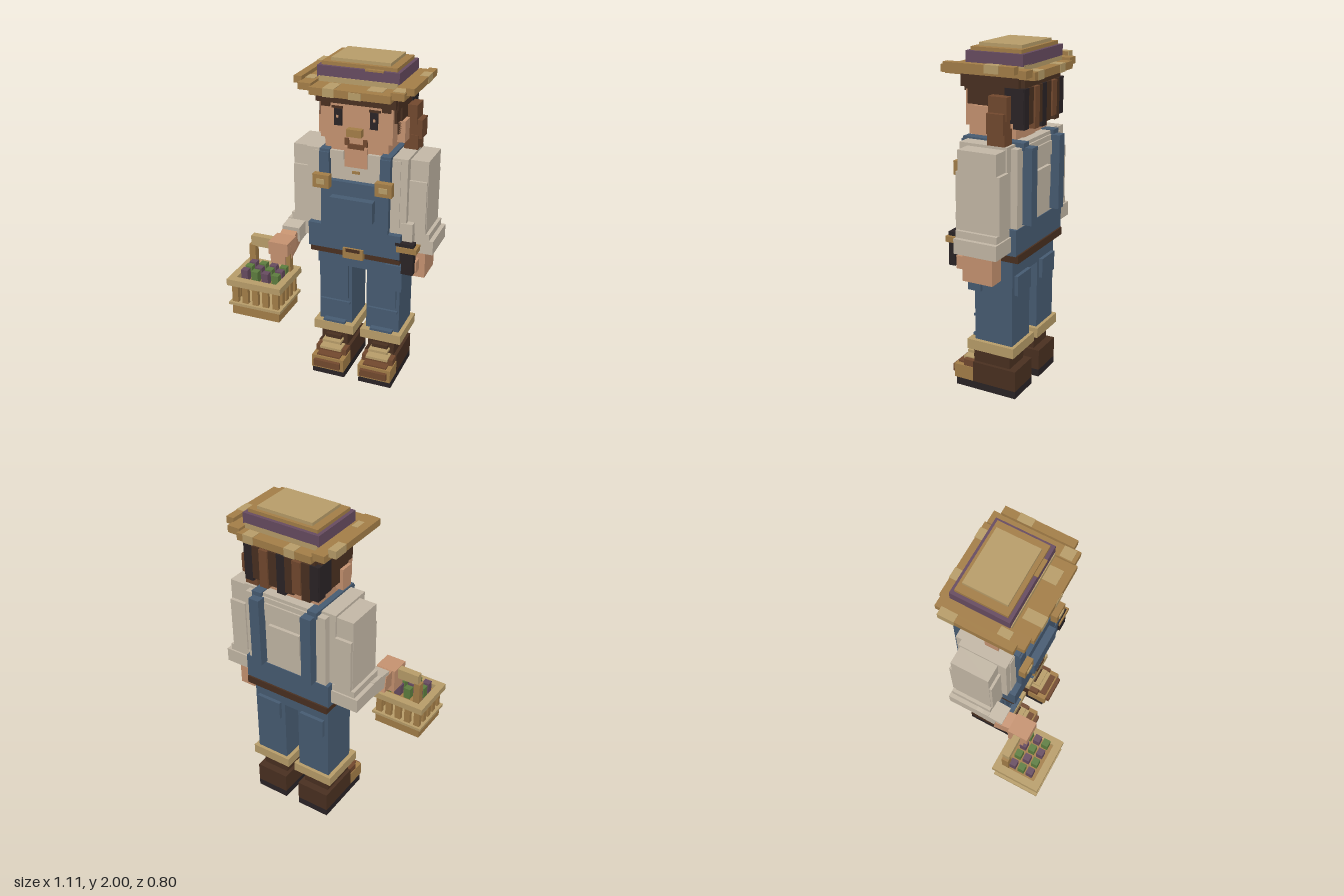
import * as THREE from 'three';

const mat = (name, color) => Object.assign(new THREE.MeshStandardMaterial({ color }), { name });

export function createModel() {
  const root = new THREE.Group();
  root.name = 'farmer';
  const skin = mat('skin', 0xc99572), shirt = mat('shirt cream', 0xc7bba9), denim = mat('denim blue', 0x485d74);
  const dark = mat('dark brown', 0x4b3121), brown = mat('mid brown', 0x744a2f), black = mat('black', 0x2b2426);
  const straw = mat('straw', 0xa68049), pale = mat('pale straw', 0xbba06b);
  const purple = mat('purple', 0x694d62), green = mat('green', 0x5f7f40);

  const group = (name) => {
    const g = new THREE.Group();
    g.name = name;
    root.add(g);
    return g;
  };
  // block given by its extents on each axis
  const box = (g, name, m, x0, x1, y0, y1, z0, z1) => {
    const mesh = new THREE.Mesh(new THREE.BoxGeometry(x1 - x0, y1 - y0, z1 - z0), m);
    mesh.position.set((x0 + x1) / 2, (y0 + y1) / 2, (z0 + z1) / 2);
    mesh.name = name;
    g.add(mesh);
    return mesh;
  };
  // block plus its mirror about the body's middle plane
  const MID2 = 0.205;
  const pair = (g, name, m, x0, x1, ...r) => {
    box(g, name + 'Right', m, x0, x1, ...r);
    box(g, name + 'Left', m, MID2 - x1, MID2 - x0, ...r);
  };

  // Boots
  const boots = group('boots');
  pair(boots, 'sole', black, -0.155, 0.055, 0, 0.045, -0.31, 0.075);
  pair(boots, 'bootHeel', dark, -0.155, 0.055, 0.045, 0.17, -0.31, -0.035);
  pair(boots, 'bootShaft', dark, -0.135, 0.035, 0.17, 0.27, -0.265, -0.035);
  pair(boots, 'toe', straw, -0.155, 0.055, 0.045, 0.13, -0.035, 0.09);
  pair(boots, 'instep', brown, -0.15, 0.05, 0.13, 0.17, -0.035, 0.03);
  pair(boots, 'toeCap', brown, -0.135, 0.035, 0.068, 0.112, 0.09, 0.112);
  pair(boots, 'toeTop', brown, -0.125, 0.025, 0.13, 0.14, 0.03, 0.08);
  pair(boots, 'tongue', dark, -0.1, 0, 0.17, 0.24, -0.035, -0.01);
  pair(boots, 'laceLow', pale, -0.12, 0.02, 0.16, 0.176, -0.035, 0.045);
  pair(boots, 'laceHigh', pale, -0.11, 0.01, 0.2, 0.216, -0.035, 0.025);

  // Trousers
  const trousers = group('trousers');
  pair(trousers, 'cuff', pale, -0.18, 0.08, 0.265, 0.325, -0.31, -0.015);
  pair(trousers, 'leg', denim, -0.155, 0.055, 0.325, 0.75, -0.29, -0.055);
  pair(trousers, 'kneePatch', denim, -0.135, 0.035, 0.5, 0.73, -0.055, -0.04);
  pair(trousers, 'legFold', denim, -0.12, 0.02, 0.325, 0.34, -0.055, -0.02);
  pair(trousers, 'shinFold', denim, -0.145, 0.045, 0.46, 0.475, -0.055, -0.04);
  pair(trousers, 'backPocket', denim, -0.13, 0.03, 0.63, 0.745, -0.312, -0.29);
  box(trousers, 'hips', denim, -0.155, 0.36, 0.735, 0.85, -0.29, -0.03);
  box(trousers, 'sidePocket', denim, 0.275, 0.38, 0.63, 0.8, -0.1, -0.02);

  // Overalls and belt
  const overalls = group('overalls');
  box(overalls, 'waist', denim, -0.18, 0.385, 0.88, 1.03, -0.325, 0.05);
  box(overalls, 'belt', dark, -0.175, 0.38, 0.84, 0.885, -0.335, 0.035);
  box(overalls, 'beltBuckle', straw, 0.04, 0.165, 0.84, 0.905, 0.03, 0.065);
  box(overalls, 'buckleTongue', dark, 0.06, 0.145, 0.885, 0.905, 0.065, 0.07);
  box(overalls, 'bib', denim, -0.1, 0.31, 1.03, 1.315, 0, 0.05);
  box(overalls, 'bibPocket', denim, -0.03, 0.23, 1.1, 1.23, 0.05, 0.095);
  pair(overalls, 'frontStrap', denim, -0.11, -0.05, 1.31, 1.48, -0.03, 0.05);
  pair(overalls, 'shoulderStrap', denim, -0.11, -0.05, 1.455, 1.495, -0.33, 0.04);
  pair(overalls, 'backStrap', denim, -0.1, -0.035, 1.04, 1.47, -0.375, -0.32);
  pair(overalls, 'strapBuckle', straw, -0.135, -0.035, 1.275, 1.355, 0.05, 0.09);
  pair(overalls, 'buckleInset', pale, -0.11, -0.06, 1.3, 1.33, 0.09, 0.097);

  // Shirt
  const top = group('shirt');
  box(top, 'torso', shirt, -0.16, 0.365, 0.99, 1.47, -0.32, 0.015);
  pair(top, 'sideBody', shirt, -0.2, -0.1, 1.03, 1.485, -0.28, 0.01);
  pair(top, 'collar', shirt, -0.05, 0.03, 1.44, 1.49, -0.28, 0.03);
  box(top, 'collarBack', shirt, -0.05, 0.255, 1.44, 1.49, -0.31, -0.26);
  box(top, 'backPanel', shirt, 0, 0.205, 1.18, 1.31, -0.34, -0.31);
  box(top, 'backYoke', shirt, -0.03, 0.235, 1.36, 1.44, -0.33, -0.31);
  box(top, 'button', straw, 0.08, 0.125, 1.36, 1.376, 0.01, 0.022);
  pair(top, 'sleeve', shirt, -0.305, -0.19, 0.99, 1.47, -0.27, -0.04);
  pair(top, 'sleeveBulge', shirt, -0.302, -0.2, 1.03, 1.35, -0.29, -0.025);
  pair(top, 'sleeveCuff', shirt, -0.35, -0.165, 0.905, 0.99, -0.295, -0.035);
  pair(top, 'cuffRim', shirt, -0.325, -0.18, 0.99, 1.03, -0.285, -0.035);
  box(top, 'glovePocket', shirt, 0.375, 0.445, 0.975, 1.1, -0.05, 0.015);

  // Left hand and hanging tool
  const left = group('leftHand');
  box(left, 'palm', skin, 0.405, 0.505, 0.735, 0.91, -0.245, -0.06);
  box(left, 'thumb', skin, 0.415, 0.47, 0.785, 0.86, -0.08, 0);
  box(left, 'toolHandle', black, 0.355, 0.465, 0.875, 0.99, 0, 0.05);
  box(left, 'toolBlade', black, 0.395, 0.465, 0.795, 0.875, 0.01, 0.05);
  box(left, 'toolBand', straw, 0.365, 0.485, 0.935, 0.968, -0.02, 0.058);

  // Right forearm reaching forward to the basket
  const right = group('rightArm');
  const fore = box(right, 'forearmSleeve', shirt, -0.35, -0.24, 0.89, 0.985, -0.12, 0.05);
  fore.rotation.x = 0.12;
  const arm = box(right, 'forearm', skin, -0.345, -0.25, 0.84, 0.945, 0, 0.18);
  arm.rotation.set(0.15, 0.12, 0);
  box(right, 'hand', skin, -0.362, -0.24, 0.865, 0.945, 0.1, 0.225);
  box(right, 'fingers', skin, -0.362, -0.27, 0.795, 0.88, 0.1, 0.2);

  // Head
  const head = group('head');
  box(head, 'neck', skin, 0.035, 0.17, 1.4, 1.52, -0.24, 0.025);
  box(head, 'chin', skin, -0.05, 0.255, 1.465, 1.53, -0.25, 0.01);
  box(head, 'jaw', skin, -0.085, 0.29, 1.505, 1.58, -0.27, 0.015);
  box(head, 'skull', skin, -0.11, 0.315, 1.56, 1.82, -0.29, 0.02);
  pair(head, 'ear', skin, -0.155, -0.11, 1.555, 1.68, -0.14, -0.06);
  pair(head, 'eye', black, -0.025, 0.02, 1.64, 1.735, 0.02, 0.03);
  pair(head, 'eyeGlint', skin, -0.012, 0, 1.685, 1.7, 0.03, 0.034);
  pair(head, 'brow', dark, -0.04, 0.025, 1.738, 1.75, 0.02, 0.03);
  box(head, 'nose', straw, 0.058, 0.145, 1.592, 1.635, 0.02, 0.06);
  pair(head, 'mouthCorner', brown, 0.035, 0.06, 1.53, 1.572, 0.015, 0.026);
  box(head, 'mouth', brown, 0.055, 0.15, 1.51, 1.538, 0.013, 0.026);

  // Hair
  const hair = group('hair');
  box(hair, 'crown', dark, -0.135, 0.34, 1.76, 1.85, -0.31, 0.01);
  box(hair, 'fringe', dark, -0.13, 0.335, 1.77, 1.84, 0, 0.04);
  pair(hair, 'fringeTip', dark, -0.1, -0.05, 1.745, 1.78, 0.02, 0.035);
  pair(hair, 'sideLock', dark, -0.135, -0.1, 1.6, 1.78, -0.3, -0.06);
  pair(hair, 'templeLock', dark, -0.125, -0.1, 1.68, 1.78, -0.07, 0);
  // alternating strands across the back
  [black, dark, brown, dark, black, dark, brown, dark, black].forEach((m, i) => {
    const x = -0.135 + i * 0.0528;
    const low = [1.58, 1.56, 1.59, 1.57, 1.55][i % 5];
    box(hair, 'backStrand', m, x, x + 0.0528, low, 1.785, -0.345 - (m === brown ? 0.01 : 0), -0.28);
  });
  box(hair, 'backCap', dark, -0.11, 0.315, 1.78, 1.85, -0.335, -0.28);
  pair(hair, 'sideStrand', black, -0.14, -0.1, 1.6, 1.785, -0.34, -0.23);
  // side ponytail
  box(hair, 'tailTop', brown, 0.32, 0.395, 1.62, 1.745, -0.27, -0.16);
  box(hair, 'tailMiddle', brown, 0.34, 0.425, 1.55, 1.66, -0.265, -0.165);
  box(hair, 'tailEnd', brown, 0.325, 0.405, 1.47, 1.57, -0.265, -0.16);

  // Straw hat, brim raised at the sides
  const hat = group('hat');
  box(hat, 'brimMiddle', straw, -0.13, 0.335, 1.832, 1.875, -0.4, 0.135);
  pair(hat, 'brimInner', straw, -0.2, -0.125, 1.85, 1.89, -0.385, 0.12);
  pair(hat, 'brimOuter', straw, -0.242, -0.195, 1.872, 1.912, -0.34, 0.08);
  box(hat, 'crownBase', pale, -0.125, 0.33, 1.87, 1.905, -0.335, 0.01);
  box(hat, 'band', purple, -0.135, 0.34, 1.9, 1.962, -0.335, 0.005);
  box(hat, 'bandGap', straw, 0.145, 0.25, 1.955, 1.966, -0.02, 0.007);
  box(hat, 'crownStep', straw, -0.115, 0.32, 1.96, 1.982, -0.315, -0.015);
  box(hat, 'crownTop', pale, -0.07, 0.275, 1.98, 2, -0.295, -0.04);
  // pale woven patches: x0, x1, z0, z1, y0, y1
  for (const [x0, x1, z0, z1, y0, y1] of [
    [-0.03, 0.035, -0.403, -0.34, 1.83, 1.878], [0.23, 0.295, -0.403, -0.34, 1.83, 1.878],
    [-0.05, 0.015, 0.025, 0.138, 1.83, 1.878], [0.185, 0.275, 0.01, 0.09, 1.86, 1.878],
    [0.1, 0.17, 0.1, 0.138, 1.83, 1.87], [-0.2, -0.14, -0.04, 0.03, 1.86, 1.893],
    [-0.244, -0.196, -0.345, -0.25, 1.87, 1.914], [0.4, 0.449, -0.25, -0.165, 1.87, 1.914],
    [0.335, 0.4, 0.03, 0.1, 1.86, 1.893],
  ]) box(hat, 'brimPatch', pale, x0, x1, y0, y1, z0, z1);

  // Basket
  const basket = group('basket');
  const [bx0, bx1, bz0, bz1] = [-0.555, -0.213, 0.097, 0.398];
  box(basket, 'basketBase', straw, bx0 + 0.02, bx1 - 0.02, 0.51, 0.575, bz0 + 0.02, bz1 - 0.02);
  box(basket, 'baseBand', pale, bx0 + 0.005, bx1 - 0.005, 0.575, 0.592, bz0 + 0.005, bz1 - 0.005);
  for (const z of [bz0, bz1 - 0.045]) box(basket, 'rim', pale, bx0, bx1, 0.705, 0.745, z, z + 0.045);
  for (const x of [bx0, bx1 - 0.045]) box(basket, 'rim', pale, x, x + 0.045, 0.705, 0.745, bz0 + 0.045, bz1 - 0.045);
  for (let i = 0; i < 5; i++) {
    const x = bx0 + 0.022 + i * 0.0648;
    for (const z of [bz0 + 0.02, bz1 - 0.045]) box(basket, 'slat', straw, x, x + 0.038, 0.59, 0.705, z, z + 0.025);
  }
  for (let i = 1; i < 4; i++) {
    const z = bz0 + 0.02 + i * 0.0565;
    for (const x of [bx0 + 0.022, bx1 - 0.045]) box(basket, 'slat', straw, x, x + 0.023, 0.59, 0.705, z, z + 0.034);
  }
  box(basket, 'filling', straw, bx0 + 0.045, bx1 - 0.045, 0.68, 0.715, bz0 + 0.045, bz1 - 0.045);
  box(basket, 'handlePost', straw, -0.51, -0.47, 0.7, 0.88, 0.14, 0.182);
  box(basket, 'handlePost', straw, -0.285, -0.245, 0.7, 0.88, 0.14, 0.182);
  box(basket, 'handleBar', pale, -0.495, -0.255, 0.875, 0.94, 0.14, 0.182);

  // Harvest in three rows
  [[purple, green, purple, green], [green, purple, green, purple], [purple, green, purple, green]].forEach((row, r) =>
    row.forEach((m, c) => {
      const x = -0.472 + c * 0.065, z = 0.2 + r * 0.055;
      box(basket, 'produce', m, x - 0.021, x + 0.021, 0.7, 0.785, z - 0.02, z + 0.02);
    }));

  return root;
}
